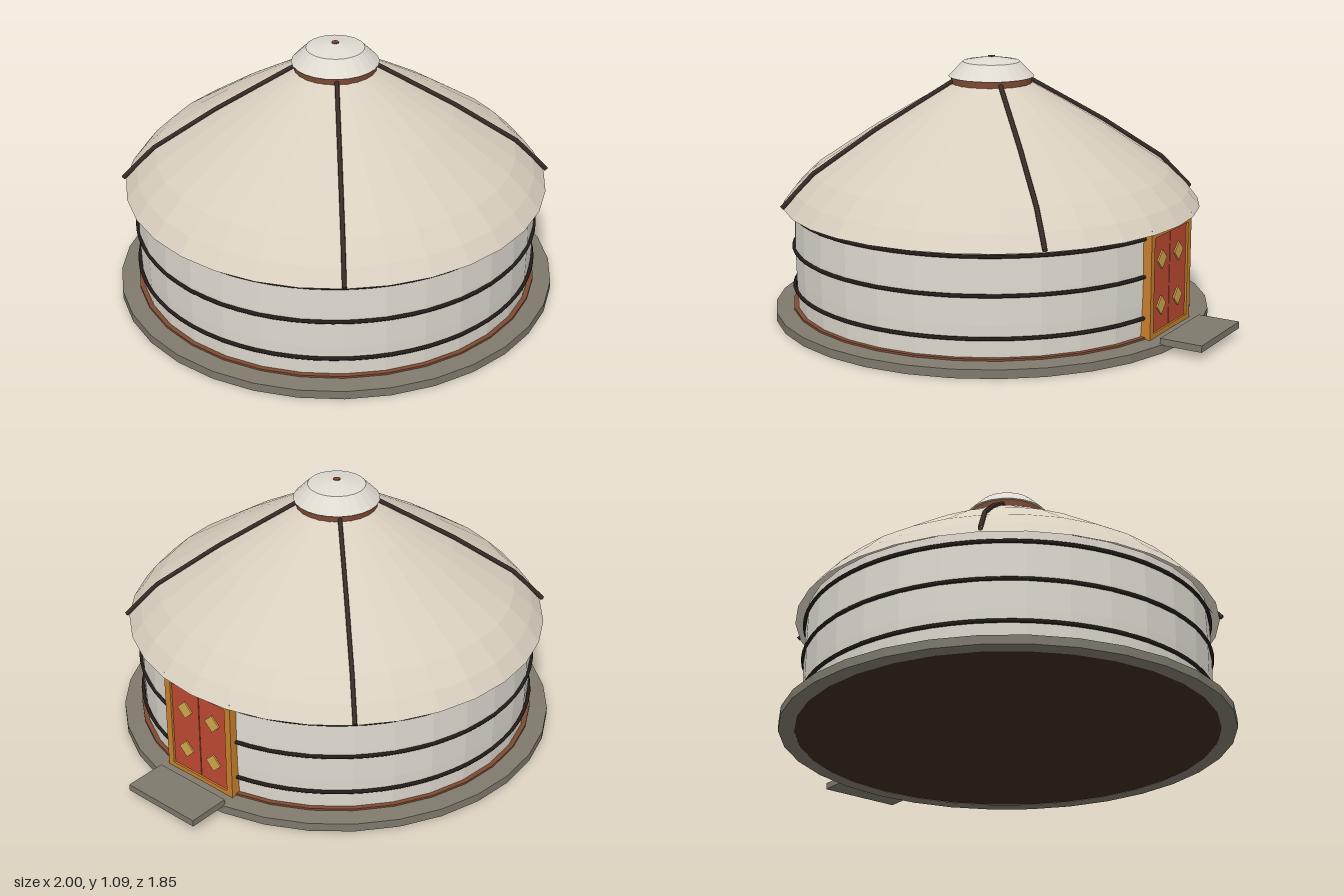
import * as THREE from 'three';

const SIDES = 32;
const mat = (color, flat = true) =>
  new THREE.MeshStandardMaterial({ color, flatShading: flat, side: THREE.DoubleSide });

const felt = mat(0xd9cfbf), canvas = mat(0xdfdad0), stone = mat(0x7f796c), dark = mat(0x241c19, false);
const rope = mat(0x3a2b26, false), wood = mat(0x7d4a32), floorWood = mat(0x3f2b20);
const orange = mat(0xc8802c), red = mat(0xbe4a32), gold = mat(0xd3a84c);

function add(parent, name, geometry, material, x = 0, y = 0, z = 0) {
  const mesh = new THREE.Mesh(geometry, material);
  mesh.name = name;
  mesh.position.set(x, y, z);
  parent.add(mesh);
  return mesh;
}

const lathe = (points, sides = SIDES) =>
  new THREE.LatheGeometry(points.map(([r, y]) => new THREE.Vector2(r, y)), sides);

export function createModel() {
  const model = new THREE.Group();
  model.name = 'roundTent';
  const tent = new THREE.Group();
  tent.name = 'tent';
  tent.position.x = -0.075;
  model.add(tent);

  // Stone plinth ring, floor and the wooden sill at the foot of the wall
  add(tent, 'plinth', lathe([[0.86, 0], [0.925, 0], [0.925, 0.036], [0.83, 0.046]]), stone);
  add(tent, 'floor', new THREE.CylinderGeometry(0.86, 0.86, 0.036, SIDES), floorWood, 0, 0.019, 0);
  add(tent, 'sill', lathe([[0.85, 0.04], [0.85, 0.052], [0.82, 0.052]]), wood);

  // Wall
  add(tent, 'wall', lathe([[0.83, 0.04], [0.836, 0.18], [0.838, 0.32], [0.835, 0.5]]), canvas);

  // Wall bands, open at the doorway
  const gap = 0.2;
  for (const y of [0.13, 0.3, 0.455]) {
    const band = add(tent, 'wallBand',
      new THREE.TorusGeometry(0.84, 0.008, 6, 64, Math.PI * 2 - 2 * gap), dark, 0, y, 0);
    band.rotation.set(Math.PI / 2, 0, gap);
  }

  // Roof
  const slope = [[0.88, 0.475], [0.83, 0.54], [0.75, 0.618], [0.667, 0.674], [0.49, 0.792], [0.32, 0.893], [0.15, 0.99]];
  add(tent, 'roof', lathe(slope), felt);

  // Roof ropes on the diagonals
  const ropeLine = [[0.89, 0.485], [0.757, 0.624], [0.672, 0.68], [0.494, 0.798], [0.165, 0.989]];
  for (let i = 0; i < 4; i++) {
    const a = Math.PI / 4 + i * Math.PI / 2;
    const path = new THREE.CurvePath();
    const pts = ropeLine.map(([r, y]) => new THREE.Vector3(r * Math.cos(a), y, r * Math.sin(a)));
    for (let k = 1; k < pts.length; k++) path.add(new THREE.LineCurve3(pts[k - 1], pts[k]));
    add(tent, 'roofRope', new THREE.TubeGeometry(path, 32, 0.01, 6), rope);
  }

  // Crown ring, cap and finial
  add(tent, 'crownRing', new THREE.CylinderGeometry(0.17, 0.17, 0.035, 24), wood, 0, 0.992, 0);
  add(tent, 'crownCap', lathe([[0, 1.007], [0.18, 1.007], [0.12, 1.068], [0, 1.09]], 24), canvas);
  add(tent, 'finial', new THREE.CylinderGeometry(0.015, 0.015, 0.02, 10), wood, 0, 1.081, 0);

  // Door: frame posts, lintel, two leaves with diamonds
  const door = new THREE.Group();
  door.name = 'door';
  model.add(door);
  add(door, 'lintel', new THREE.BoxGeometry(0.075, 0.035, 0.36), orange, 0.738, 0.472, 0);
  add(door, 'threshold', new THREE.BoxGeometry(0.075, 0.025, 0.36), orange, 0.738, 0.05, 0);
  const diamond = new THREE.BoxGeometry(0.008, 0.056, 0.056);
  for (const s of [-1, 1]) {
    add(door, 'framePost', new THREE.BoxGeometry(0.075, 0.45, 0.03), orange, 0.738, 0.265, s * 0.165);
    add(door, 'doorLeaf', new THREE.BoxGeometry(0.05, 0.4, 0.147), red, 0.742, 0.258, s * 0.0755);
    for (const y of [0.162, 0.352])
      add(door, 'diamond', diamond, gold, 0.769, y, s * 0.075).rotation.x = Math.PI / 4;
  }
  add(door, 'doorSeam', new THREE.BoxGeometry(0.04, 0.4, 0.006), dark, 0.74, 0.258, 0);

  // Step in front of the door
  add(model, 'step', new THREE.BoxGeometry(0.18, 0.028, 0.36), stone, 0.91, 0.046, 0);

  return model;
}
